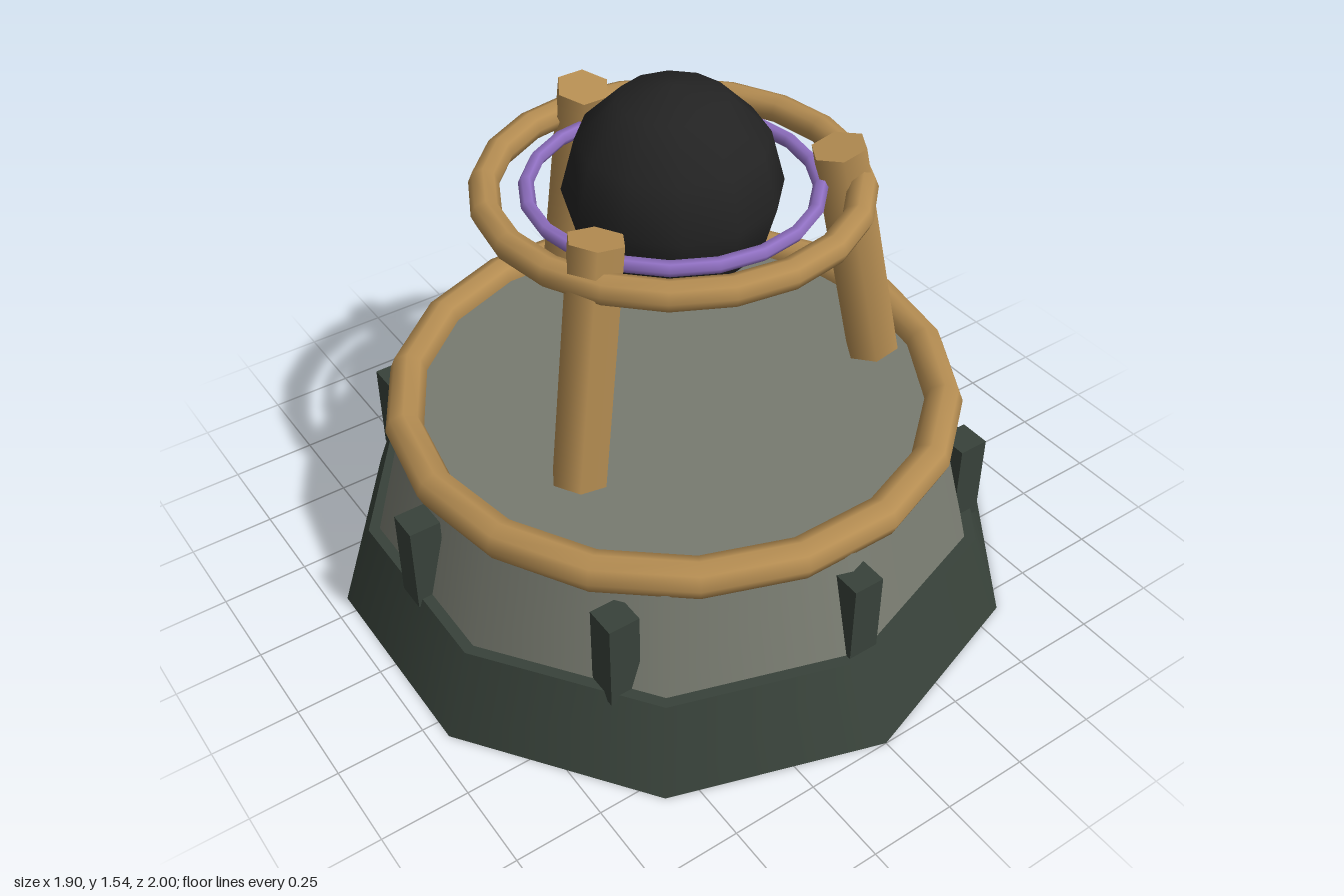
import * as THREE from 'three';

function material(name, color) {
  const m = new THREE.MeshStandardMaterial({ color });
  m.name = name;
  return m;
}

export function createModel() {
  const model = new THREE.Group();
  model.name = 'orbPedestal';

  const darkStone = material('dark green stone', 0x38423a);
  const greyStone = material('grey stone', 0x787b70);
  const brass = material('brass', 0xb58d52);
  const violet = material('violet', 0x9070c2);
  const black = material('black', 0x232323);

  function add(name, geometry, mat, x = 0, y = 0, z = 0, parent = model) {
    const mesh = new THREE.Mesh(geometry, mat);
    mesh.name = name;
    mesh.position.set(x, y, z);
    parent.add(mesh);
    return mesh;
  }

  // horizontal ring centred on the axis
  function ring(name, radius, tube, sides, segments, mat, y) {
    const geometry = new THREE.TorusGeometry(radius, tube, sides, segments);
    geometry.rotateX(Math.PI / 2);
    return add(name, geometry, mat, 0, y, 0);
  }

  // ten-sided plinth and the drum standing on it
  add('plinth', new THREE.CylinderGeometry(0.91, 1, 0.25, 10), darkStone, 0, 0.125, 0);
  add('drum', new THREE.CylinderGeometry(0.793, 0.878, 0.325, 10), greyStone, 0, 0.4125, 0);
  ring('drumRim', 0.77, 0.054, 8, 18, brass, 0.575);

  // eight square studs around the drum
  const studGeometry = new THREE.BoxGeometry(0.09, 0.27, 0.09);
  for (let i = 0; i < 8; i++) {
    const a = (i * Math.PI) / 4;
    add('stud', studGeometry, darkStone, 0.833 * Math.sin(a), 0.36, 0.833 * Math.cos(a));
  }

  // three leaning hexagonal struts
  const strutGeometry = new THREE.CylinderGeometry(0.078, 0.078, 0.675, 6);
  for (let i = 0; i < 3; i++) {
    const arm = new THREE.Group();
    arm.name = 'strutArm';
    arm.rotation.y = Math.PI / 2 + (i * 2 * Math.PI) / 3;
    model.add(arm);
    const strut = add('strut', strutGeometry, brass, 0.502, 1.01, 0, arm);
    strut.rotation.z = 0.2;
  }

  // hoops around the floating orb
  ring('outerHoop', 0.498, 0.041, 8, 20, brass, 1.25);
  ring('innerHoop', 0.387, 0.021, 6, 20, violet, 1.25);
  add('orb', new THREE.SphereGeometry(0.295, 12, 6), black, 0, 1.25, 0);

  return model;
}
